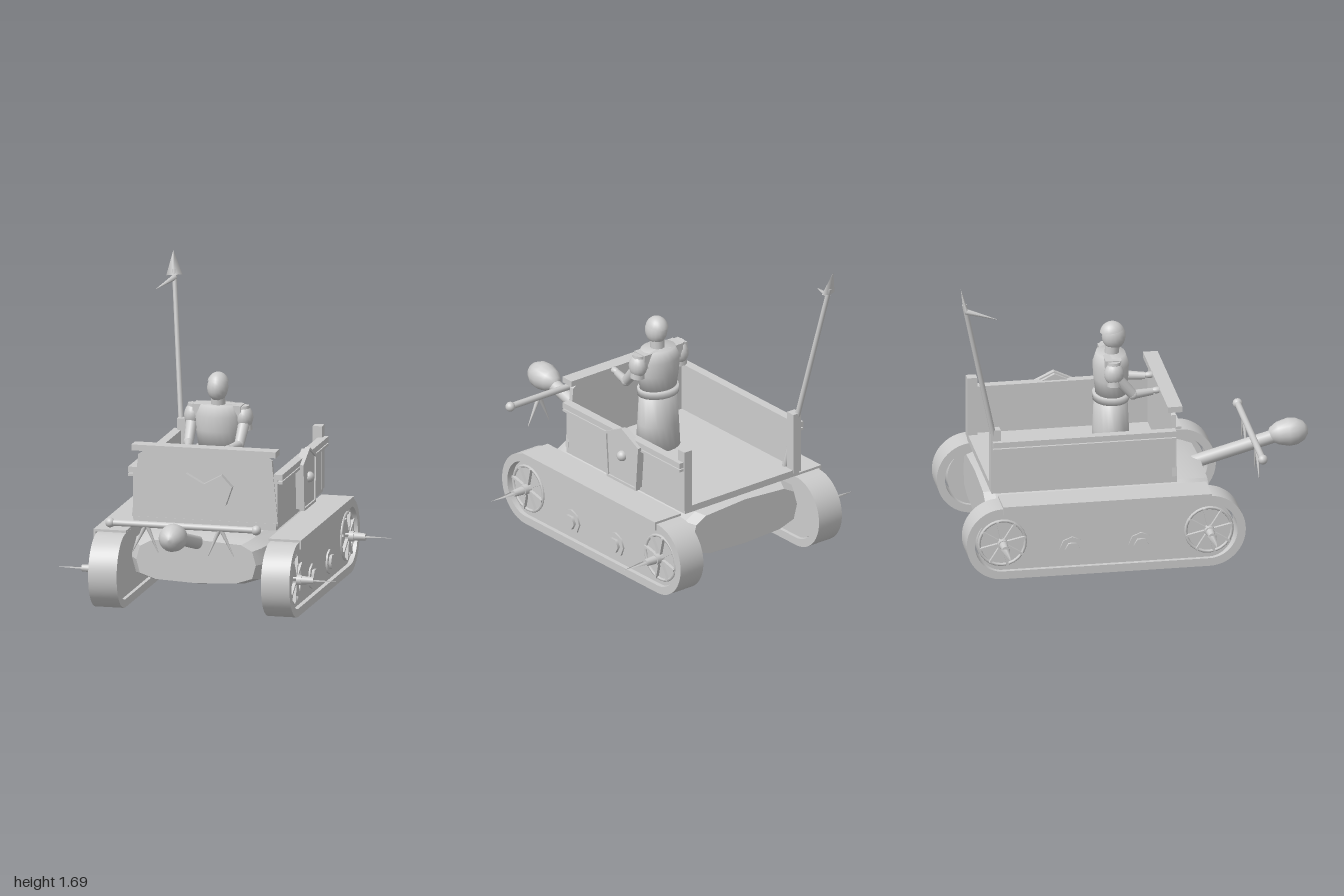
import * as THREE from 'three';
import { toCreasedNormals } from 'three/addons/utils/BufferGeometryUtils.js';

const V = (x, y, z) => new THREE.Vector3(x, y, z);

export function createModel() {
  const model = new THREE.Group();
  const grey = new THREE.MeshStandardMaterial({ color: 0xcccccc });
  grey.name = 'plainGrey';

  const add = (name, geometry, x = 0, y = 0, z = 0) => {
    const mesh = new THREE.Mesh(geometry, grey);
    mesh.name = name;
    mesh.position.set(x, y, z);
    model.add(mesh);
    return mesh;
  };
  // Box given by its limits
  const box = (name, x0, x1, y0, y1, z0, z1) =>
    add(name, new THREE.BoxGeometry(Math.abs(x1 - x0), y1 - y0, z1 - z0), (x0 + x1) / 2, (y0 + y1) / 2, (z0 + z1) / 2);
  // Tapered round bar from a to b
  const rod = (name, a, b, ra, rb = ra, sides = 12) => {
    const d = b.clone().sub(a);
    const mesh = add(name, new THREE.CylinderGeometry(rb, ra, d.length(), sides));
    mesh.position.copy(a).addScaledVector(d, 0.5);
    mesh.quaternion.setFromUnitVectors(V(0, 1, 0), d.normalize());
    return mesh;
  };
  const ball = (name, x, y, z, rx, ry = rx, rz = rx) => {
    const mesh = add(name, new THREE.SphereGeometry(1, 16, 12), x, y, z);
    mesh.scale.set(rx, ry, rz);
    return mesh;
  };
  const polygon = (points) => new THREE.Shape(points.map(([a, b]) => new THREE.Vector2(a, b)));
  // Extrudes a (z, y) shape sideways between two x values
  const sidePlate = (name, shape, xa, xb) => {
    const geometry = new THREE.ExtrudeGeometry(shape, { depth: Math.abs(xb - xa), bevelEnabled: false, curveSegments: 14 });
    return add(name, toCreasedNormals(geometry.rotateY(-Math.PI / 2), 0.5), Math.max(xa, xb));
  };
  // Long loop outline with elliptical ends
  const WHEELS = [-0.78, 0.36], AXLE = 0.205;
  const loop = (rz, ry) => {
    const s = new THREE.Shape();
    s.absellipse(WHEELS[1], AXLE, rz, ry, -Math.PI / 2, Math.PI / 2, false, 0);
    s.absellipse(WHEELS[0], AXLE, rz, ry, Math.PI / 2, Math.PI * 1.5, false, 0);
    s.closePath();
    return s;
  };

  // Hull: one cross-section, narrowed at both ends
  const section = [[0.4, 0.28], [0.375, 0.19], [0.27, 0.155], [0, 0.142], [-0.27, 0.155], [-0.375, 0.19],
    [-0.4, 0.28], [-0.375, 0.37], [-0.3, 0.41], [0, 0.43], [0.3, 0.41], [0.375, 0.37]];
  const stations = [[-0.84, 0.91], [-0.78, 1], [0.24, 1], [0.34, 0.94], [0.4, 0.84]];
  const n = section.length, positions = [], faces = [];
  for (const [z, k] of stations) for (const [x, y] of section) positions.push(x * k, 0.28 + (y - 0.28) * k, z);
  for (let i = 0; i < stations.length - 1; i++) {
    for (let j = 0; j < n; j++) {
      const a = i * n + j, b = i * n + (j + 1) % n;
      faces.push(a, b, a + n, b, b + n, a + n);
    }
  }
  const last = (stations.length - 1) * n;
  for (let j = 1; j < n - 1; j++) faces.push(0, j + 1, j, last, last + j, last + j + 1);
  // Sections run clockwise, so turn every face outward
  for (let i = 0; i < faces.length; i += 3) [faces[i + 1], faces[i + 2]] = [faces[i + 2], faces[i + 1]];
  const hull = new THREE.BufferGeometry();
  hull.setAttribute('position', new THREE.Float32BufferAttribute(positions, 3));
  hull.setIndex(faces);
  add('hull', toCreasedNormals(hull, 0.35));

  for (const s of [1, -1]) {
    // Tracks
    const band = loop(0.2, 0.205);
    band.holes.push(loop(0.155, 0.16));
    sidePlate('trackBand', band, s * 0.405, s * 0.565);
    sidePlate('trackPanel', loop(0.138, 0.16), s * 0.425, s * 0.54);
    box('fender', s * 0.4, s * 0.583, 0.415, 0.428, -0.78, 0.37);
    box('fenderLip', s * 0.572, s * 0.583, 0.378, 0.416, -0.78, 0.37);

    // Spoked wheels with hub spikes
    for (const z of WHEELS) {
      const rim = add('wheelRim', new THREE.TorusGeometry(0.128, 0.009, 6, 24), s * 0.542, AXLE, z);
      rim.rotation.y = Math.PI / 2;
      for (let i = 0; i < 8; i++) {
        const angle = 0.22 + i * Math.PI / 4;
        const spoke = add('spoke', new THREE.BoxGeometry(0.02, 0.013, 0.105),
          s * 0.548, AXLE + Math.sin(angle) * 0.078, z + Math.cos(angle) * 0.078);
        spoke.rotation.x = -angle;
      }
      rod('hub', V(s * 0.53, AXLE, z), V(s * 0.585, AXLE, z), 0.029);
      rod('axle', V(s * 0.58, AXLE, z), V(s * 0.65, AXLE, z), 0.024, 0.019);
      const spike = add('hubSpike', new THREE.ConeGeometry(0.026, 0.165, 4), s * 0.7225, AXLE, z);
      spike.rotation.z = -s * Math.PI / 2;
      spike.scale.x = 0.2;
    }
    // Road wheels with hexagonal nuts
    for (const z of [-0.015, -0.395]) {
      rod('roadWheel', V(s * 0.535, 0.145, z), V(s * 0.55, 0.145, z), 0.07, 0.07, 8);
      rod('nut', V(s * 0.54, 0.145, z), V(s * 0.565, 0.145, z), 0.043, 0.043, 6);
    }

    // Cart walls, rails and rear posts
    box('sideWall', s * 0.385, s * 0.405, 0.46, 0.745, -0.8, 0.2);
    box('topRail', s * 0.383, s * 0.433, 0.715, 0.747, -0.81, 0.2);
    box('lowerRail', s * 0.39, s * 0.433, 0.695, 0.709, -0.81, 0.2);
    box('rearPost', s * 0.355, s * 0.408, 0.46, 0.81, -0.82, -0.765);
  }

  // Floor and front board
  box('floor', -0.4, 0.4, 0.437, 0.475, -0.815, 0.207);
  const extrudeFront = (name, points, z0, z1) =>
    add(name, new THREE.ExtrudeGeometry(polygon(points), { depth: z1 - z0, bevelEnabled: false }), 0, 0, z0);
  extrudeFront('frontBoard', [[-0.41, 0.475], [0.41, 0.475], [0.375, 0.82], [0.33, 0.85], [-0.33, 0.85], [-0.375, 0.82]], 0.18, 0.206);
  extrudeFront('frontPlate', [[-0.125, 0.57], [0.125, 0.57], [0.16, 0.67], [0.1, 0.735], [0, 0.68], [-0.1, 0.735], [-0.16, 0.67]], 0.2, 0.24);
  box('handRail', -0.405, 0.405, 0.847, 0.88, 0.157, 0.238);

  // Shield hung on the left wall
  const shieldPoints = [[-0.205, 0.46], [-0.185, 0.72], [-0.33, 0.79], [-0.475, 0.72], [-0.455, 0.46]];
  const inset = (k) => shieldPoints.map(([z, y]) => [-0.33 + (z + 0.33) * k, 0.62 + (y - 0.62) * k]);
  const border = polygon(inset(1));
  border.holes.push(polygon(inset(0.91)));
  sidePlate('shieldBorder', border, 0.425, 0.453);
  sidePlate('shieldFace', polygon(inset(0.95)), 0.405, 0.444);
  ball('shieldBoss', 0.447, 0.625, -0.33, 0.03);

  // Ram with crossbar and hanging prongs
  rod('ramBeam', V(0, 0.365, 0.3), V(0, 0.515, 0.85), 0.037, 0.037, 16);
  const ramProfile = [[0, -0.115], [0.036, -0.1], [0.062, -0.06], [0.077, 0], [0.073, 0.045], [0.052, 0.085], [0.025, 0.104], [0, 0.11]];
  const ramHead = add('ramHead', new THREE.LatheGeometry(ramProfile.map(([r, h]) => new THREE.Vector2(r, h)), 16), 0, 0.523, 0.89);
  ramHead.rotation.x = Math.PI / 2 - 0.06;
  rod('crossbar', V(-0.405, 0.54, 0.68), V(0.405, 0.54, 0.68), 0.018);
  for (const s of [1, -1]) {
    ball('crossbarKnob', s * 0.41, 0.54, 0.68, 0.027);
    for (const foot of [0.285, 0.14]) rod('prong', V(s * 0.207, 0.545, 0.68), V(s * foot, 0.385, 0.68), 0.014, 0.002, 8);
  }

  // Spear leaning out of the rear right corner
  const butt = V(-0.36, 0.46, -0.735), tip = V(-0.488, 1.69, -1);
  const along = (t) => butt.clone().lerp(tip, t);
  rod('spearShaft', butt, along(0.92), 0.016, 0.013, 8);
  const head = rod('spearHead', along(0.895), tip, 0.046, 0.001, 4);
  head.scale.z = 0.28;
  rod('spearHook', along(0.885), V(-0.535, 1.515, -0.805), 0.017, 0.001, 6);

  // Driver: robe, breastplate, neck and head
  const turned = (name, profile, sz, z) => {
    const mesh = add(name, new THREE.LatheGeometry(profile.map(([r, y]) => new THREE.Vector2(r, y)), 20), 0, 0, z);
    mesh.scale.z = sz;
  };
  turned('robe', [[0, 0.47], [0.13, 0.47], [0.122, 0.62], [0.112, 0.8], [0, 0.8]], 0.82, -0.09);
  turned('belt', [[0, 0.79], [0.122, 0.79], [0.122, 0.83], [0, 0.83]], 0.82, -0.09);
  turned('torso', [[0, 0.82], [0.11, 0.82], [0.125, 0.92], [0.13, 1.0], [0.105, 1.06], [0, 1.06]], 0.76, -0.09);
  box('collar', -0.135, 0.135, 0.98, 1.06, -0.14, -0.05);
  rod('neck', V(0, 1.04, -0.085), V(0, 1.11, -0.08), 0.04);
  ball('head', 0, 1.155, -0.073, 0.058, 0.076, 0.066);
  const hair = add('hair', new THREE.SphereGeometry(1, 16, 8, 0, Math.PI * 2, 0, 1.25), 0, 1.165, -0.08);
  hair.scale.set(0.061, 0.074, 0.07);
  hair.rotation.x = -0.15;

  // Arms reaching to the hand rail
  for (const s of [1, -1]) {
    const shoulder = V(s * 0.148, 0.985, -0.1), elbow = V(s * 0.142, 0.86, 0.01), wrist = V(s * 0.115, 0.86, 0.12);
    rod('shoulderGuard', V(s * 0.15, 0.92, -0.095), V(s * 0.137, 1.055, -0.095), 0.04, 0.035, 10);
    ball('shoulder', s * 0.145, 0.99, -0.095, 0.048, 0.065, 0.055);
    rod('upperArm', shoulder, elbow, 0.034, 0.027);
    ball('elbow', elbow.x, elbow.y, elbow.z, 0.028);
    rod('forearm', elbow, wrist, 0.026, 0.02);
    ball('hand', s * 0.112, 0.865, 0.145, 0.02, 0.018, 0.032);
  }
  return model;
}
